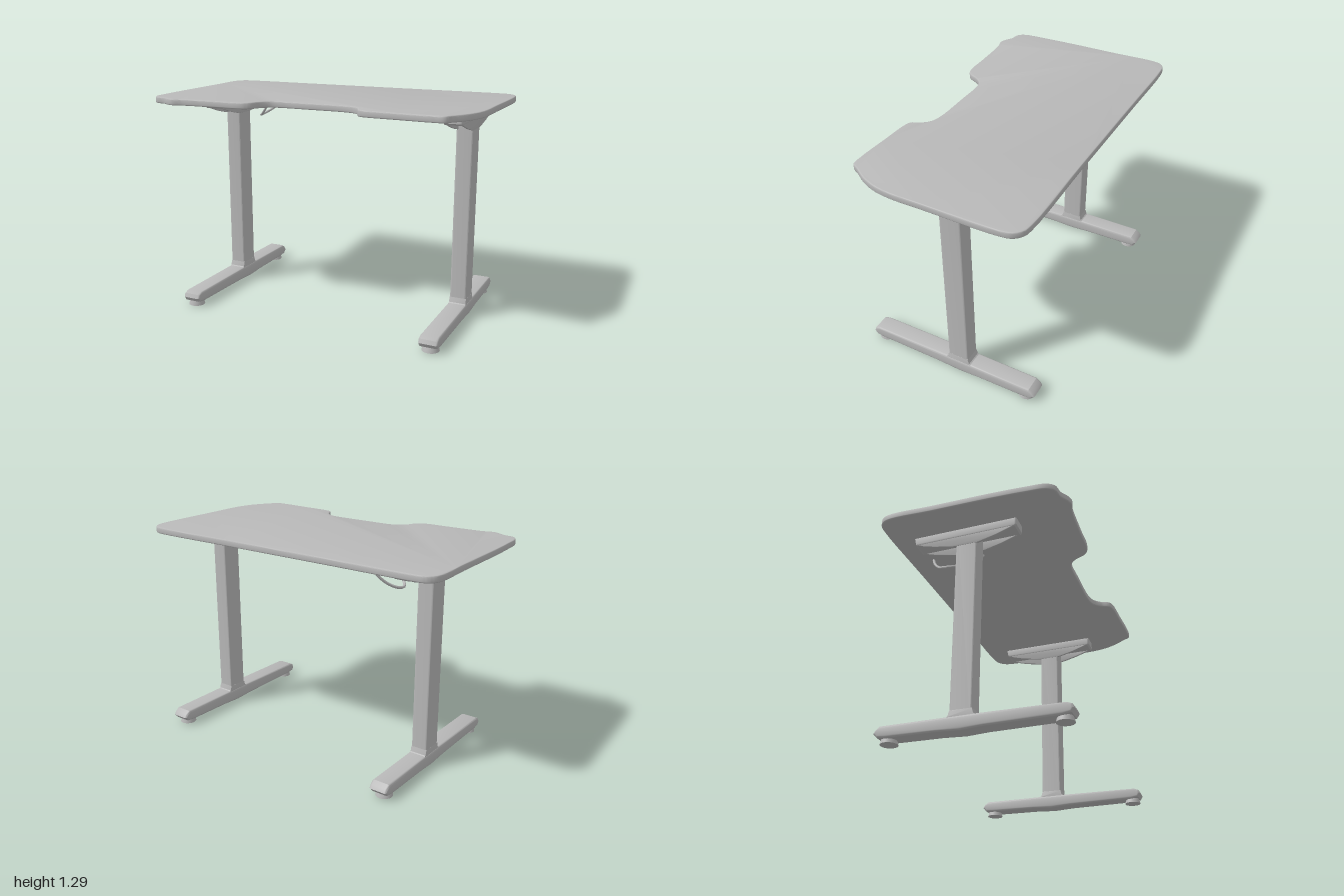
import * as THREE from 'three';
import { toCreasedNormals } from 'three/addons/utils/BufferGeometryUtils.js';

const grey = new THREE.MeshStandardMaterial({ color: 0xb8b8b8 });
grey.name = 'satin grey';

function part(name, geometry, parent) {
  const mesh = new THREE.Mesh(toCreasedNormals(geometry, 0.6), grey);
  mesh.name = name;
  parent.add(mesh);
  return mesh;
}

// Extrudes a shape to a total depth, keeping its outline size despite the bevel.
function slab(points, depth, bevel, segments = 3) {
  return new THREE.ExtrudeGeometry(new THREE.Shape(points), {
    depth: depth - 2 * bevel, bevelEnabled: bevel > 0, bevelThickness: bevel,
    bevelSize: bevel, bevelOffset: -bevel, bevelSegments: segments,
  }).translate(0, 0, bevel);
}

// Side profile given as [z, y], extruded across x and centred on x = 0.
function sideProfile(profile, width, bevel, segments) {
  const points = profile.map(([z, y]) => new THREE.Vector2(-z, y));
  return slab(points, width, bevel, segments).translate(0, 0, -width / 2).rotateY(Math.PI / 2);
}

function createTop(parent) {
  // Outline as [x, z], with the scooped front edge
  const outline = [
    [-1, -0.44], [-0.985, -0.495], [-0.95, -0.525], [-0.89, -0.535], [-0.4, -0.538], [0.3, -0.542],
    [0.88, -0.548], [0.94, -0.535], [0.98, -0.495], [0.995, -0.43], [0.996, 0], [0.995, 0.2],
    [0.98, 0.3], [0.945, 0.39], [0.89, 0.475], [0.865, 0.515], [0.8, 0.522], [0.6, 0.515],
    [0.41, 0.505], [0.375, 0.49], [0.35, 0.44], [0.31, 0.4], [0.25, 0.382], [0, 0.38],
    [-0.17, 0.383], [-0.22, 0.4], [-0.255, 0.44], [-0.285, 0.5], [-0.33, 0.527], [-0.5, 0.535],
    [-0.72, 0.547], [-0.78, 0.563], [-0.82, 0.553], [-0.87, 0.525], [-0.93, 0.513], [-0.962, 0.47],
    [-0.975, 0.35], [-0.985, 0.15], [-0.992, -0.2],
  ];
  const curve = new THREE.CatmullRomCurve3(
    outline.map(([x, z]) => new THREE.Vector3(x, -z, 0)), true, 'centripetal');
  const points = curve.getPoints(195).slice(0, -1).map((p) => new THREE.Vector2(p.x, p.y)).reverse();
  part('desktop', slab(points, 0.038, 0.007).rotateX(-Math.PI / 2).translate(0, 1.255, 0), parent);
}

function createLeg(name, x) {
  const leg = new THREE.Group();
  leg.name = name;
  leg.position.x = x;

  // Foot bar with pointed ends
  part('foot', sideProfile([
    [0.54, 0.055], [0.53, 0.078], [0.5, 0.09], [0.02, 0.095], [-0.15, 0.095], [-0.53, 0.094],
    [-0.555, 0.075], [-0.568, 0.055], [-0.545, 0.03], [-0.5, 0.024], [-0.2, 0.02], [-0.07, 0.013],
    [0.06, 0.02], [0.48, 0.024], [0.525, 0.032],
  ], 0.112, 0.012), leg);
  for (const z of [0.48, -0.495]) {
    const pad = part('levellingPad', new THREE.CylinderGeometry(0.042, 0.05, 0.03, 20), leg);
    pad.position.set(0, 0.015, z);
  }

  // Column with softened corners, flared slightly into the foot
  const w = 0.05, d = 0.065, r = 0.012;
  const section = new THREE.Shape();
  section.moveTo(-w + r, -d).lineTo(w - r, -d).quadraticCurveTo(w, -d, w, -d + r)
    .lineTo(w, d - r).quadraticCurveTo(w, d, w - r, d)
    .lineTo(-w + r, d).quadraticCurveTo(-w, d, -w, d - r)
    .lineTo(-w, -d + r).quadraticCurveTo(-w, -d, -w + r, -d);
  const column = new THREE.ExtrudeGeometry(section, { depth: 1.13, bevelEnabled: false, curveSegments: 5 });
  part('column', column.rotateX(-Math.PI / 2).translate(0, 0.08, -0.067), leg);
  part('columnFillet', sideProfile([
    [0.022, 0.088], [0.006, 0.1], [-0.002, 0.13], [-0.132, 0.13], [-0.14, 0.1], [-0.156, 0.088],
  ], 0.104, 0.006, 2), leg);

  // Bracket: a solid rail with two curved cheeks beneath it
  part('bracketRail', sideProfile([
    [0.235, 1.258], [0.235, 1.21], [0.225, 1.2], [-0.375, 1.2], [-0.39, 1.208], [-0.4, 1.258],
  ], 0.108, 0.01), leg);
  for (const side of [-1, 1]) {
    const cheek = part('bracketCheek', sideProfile([
      [0.232, 1.21], [0.2, 1.197], [0.11, 1.168], [0.04, 1.151], [0, 1.143], [-0.13, 1.143],
      [-0.18, 1.152], [-0.27, 1.17], [-0.34, 1.19], [-0.385, 1.21],
    ], 0.014, 0.003, 2), leg);
    cheek.position.x = side * 0.045;
  }
  return leg;
}

export function createModel() {
  const desk = new THREE.Group();
  desk.name = 'desk';
  createTop(desk);
  desk.add(createLeg('rightLeg', -0.728), createLeg('leftLeg', 0.817));

  // Cable hanging in a loop beside the right leg
  const cable = new THREE.CatmullRomCurve3([
    [-0.485, 1.26, -0.08], [-0.53, 1.19, -0.1], [-0.59, 1.13, -0.14], [-0.635, 1.111, -0.2],
    [-0.635, 1.118, -0.26], [-0.6, 1.15, -0.32], [-0.56, 1.21, -0.37], [-0.54, 1.26, -0.39],
  ].map((p) => new THREE.Vector3(...p)));
  part('cable', new THREE.TubeGeometry(cable, 40, 0.008, 8), desk);
  return desk;
}
